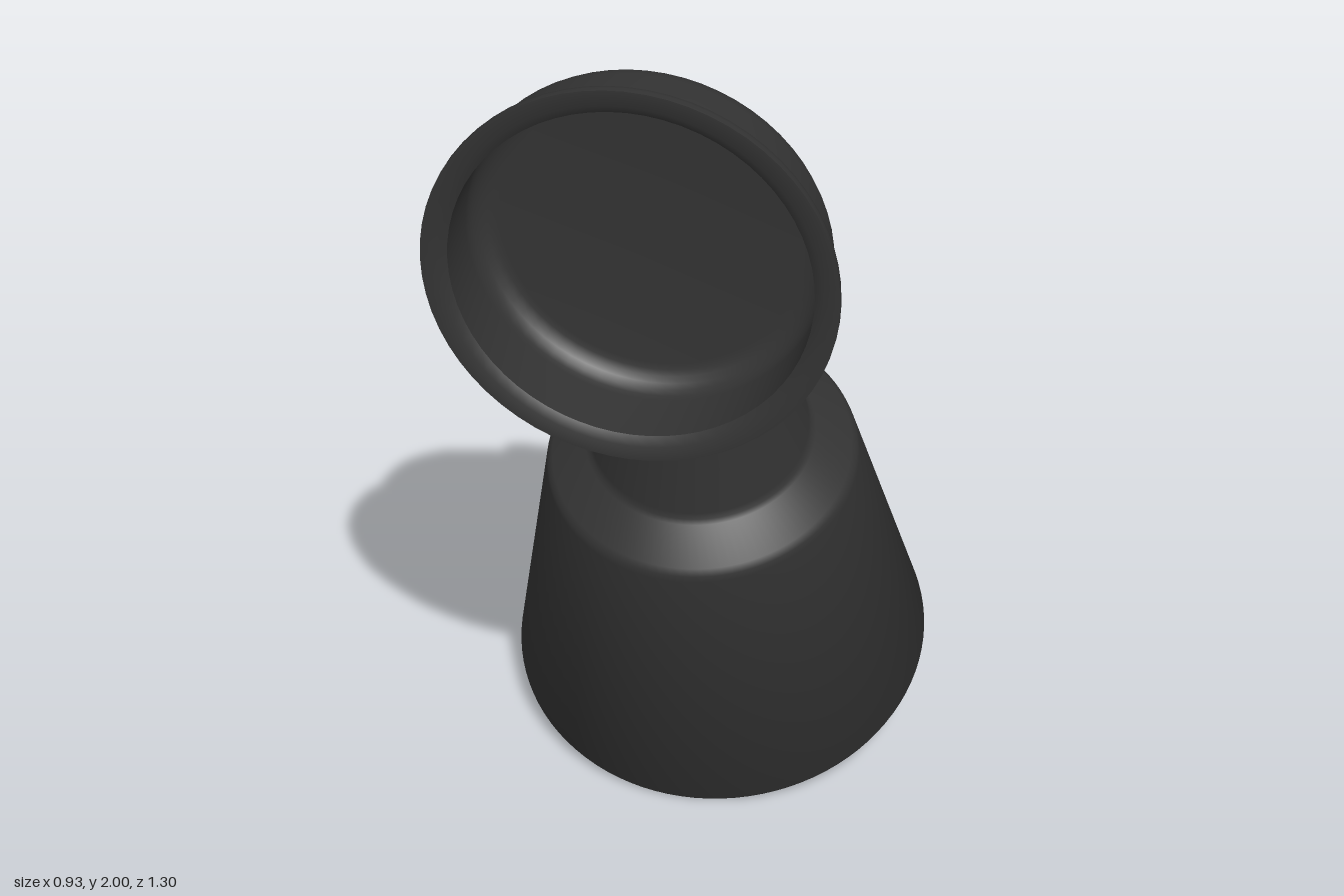
import * as THREE from 'three';
import { toCreasedNormals } from 'three/addons/utils/BufferGeometryUtils.js';

const dark = new THREE.MeshStandardMaterial({ color: 0x333333 });
const cream = new THREE.MeshStandardMaterial({ color: 0xf5ead0 });
const grey = new THREE.MeshStandardMaterial({ color: 0x808080 });

function add(parent, name, geometry, material = dark) {
  const mesh = new THREE.Mesh(geometry, material);
  mesh.name = name;
  parent.add(mesh);
  return mesh;
}

// Profile runs upwards on outer faces and downwards on inner faces
function lathe(profile, segments = 64, crease = 0.6) {
  const points = profile.map(([r, y]) => new THREE.Vector2(r, y));
  return toCreasedNormals(new THREE.LatheGeometry(points, segments), crease);
}

// Quarter-round corner points from angle a to angle b
function corner(cx, cy, r, a, b, n = 6) {
  return Array.from({ length: n + 1 }, (_, i) => {
    const t = a + ((b - a) * i) / n;
    return [cx + r * Math.cos(t), cy + r * Math.sin(t)];
  });
}

export function createModel() {
  const model = new THREE.Group();
  model.name = 'wallSpotlight';
  const H = Math.PI / 2;

  // Wall canopy: a hollow flanged cup, open towards +z
  const canopy = new THREE.Group();
  canopy.name = 'canopy';
  canopy.position.set(0, 1.605, 0);
  canopy.rotation.x = H;
  model.add(canopy);
  add(canopy, 'canopyCup', lathe([
    [0, 0.45],
    ...corner(0.295, 0.515, 0.065, -H, 0),
    [0.36, 0.608], [0.375, 0.608],
    ...corner(0.37, 0.638, 0.026, -H, 0, 4),
    [0.396, 0.65], [0.365, 0.65], [0.347, 0.638], [0.347, 0.52],
    ...corner(0.295, 0.515, 0.052, 0, -H),
    [0, 0.463],
  ]));

  // Two screw caps on the canopy face
  for (const side of [-1, 1]) {
    const screw = add(model, side > 0 ? 'leftScrew' : 'rightScrew', lathe([
      [0, 0], ...corner(0.02, 0.01, 0.01, -H, 0, 4), [0.03, 0.045],
    ], 20));
    screw.position.set(side * 0.225, 1.605, 0.417);
    screw.rotation.x = H;
  }

  // Thin strap from the canopy to the joint
  const strap = add(model, 'strap', new THREE.BoxGeometry(0.018, 0.07, 0.22));
  strap.position.set(-0.109, 1.605, 0.35);

  // Swivel joint: two rounded discs with a toothed seam
  const joint = new THREE.Group();
  joint.name = 'swivelJoint';
  joint.position.set(-0.02, 1.605, 0.28);
  model.add(joint);
  const discGeometry = lathe([
    [0, 0.005], [0.076, 0.005], [0.088, 0.012],
    ...corner(0.058, 0.05, 0.03, 0, H), [0, 0.08],
  ], 40);
  for (const side of [-1, 1]) {
    const disc = add(joint, side > 0 ? 'leftJointDisc' : 'rightJointDisc', discGeometry);
    disc.rotation.z = -side * H;
  }
  const toothGeometry = new THREE.BoxGeometry(0.014, 0.02, 0.008);
  for (let i = 0; i < 32; i++) {
    const a = (i / 32) * Math.PI * 2;
    const tooth = add(joint, 'jointTooth', toothGeometry);
    tooth.position.set(0, Math.cos(a) * 0.073, Math.sin(a) * 0.073);
    tooth.rotation.x = a;
  }

  // Tilted lamp head, measured down its axis from the joint
  const head = new THREE.Group();
  head.name = 'lampHead';
  head.position.set(0, 1.605, 0.282);
  head.rotation.x = 0.326;
  model.add(head);

  // Stem: tapered, with flattened sides where it meets the joint
  const stemGeometry = new THREE.CylinderGeometry(0.083, 0.058, 0.18, 40, 4);
  const p = stemGeometry.attributes.position;
  for (let i = 0; i < p.count; i++) p.setX(i, THREE.MathUtils.clamp(p.getX(i), -0.058, 0.058));
  const stem = add(head, 'stem', toCreasedNormals(stemGeometry, 0.6));
  stem.position.y = -0.135;

  // Domed collar above the shade
  add(head, 'collar', lathe([
    [0.1, -0.338], [0.121, -0.335], [0.122, -0.322], [0.117, -0.305],
    [0.106, -0.277], [0.091, -0.247], [0.075, -0.222], [0.06, -0.205], [0, -0.205],
  ]));

  // Outer shade with rim, body, shoulder and neck
  add(head, 'shade', lathe([
    [0.448, -1.528], [0.452, -1.536], [0.464, -1.536], [0.467, -1.528],
    [0.337, -0.87], [0.333, -0.855], [0.322, -0.842],
    [0.247, -0.79], [0.238, -0.782], [0.233, -0.768],
    [0.119, -0.335], [0, -0.335],
  ], 96));

  // Pale lining inside the shade
  add(head, 'shadeLining', lathe([
    [0, -0.85], [0.318, -0.87], [0.448, -1.528],
  ], 96), cream);

  // Recessed lamp face with a shallow rim
  add(head, 'lampFace', lathe([
    [0, -1.262], [0.34, -1.262], [0.375, -1.275], [0.396, -1.27], [0.392, -1.25], [0, -1.25],
  ], 96), grey);

  return model;
}
